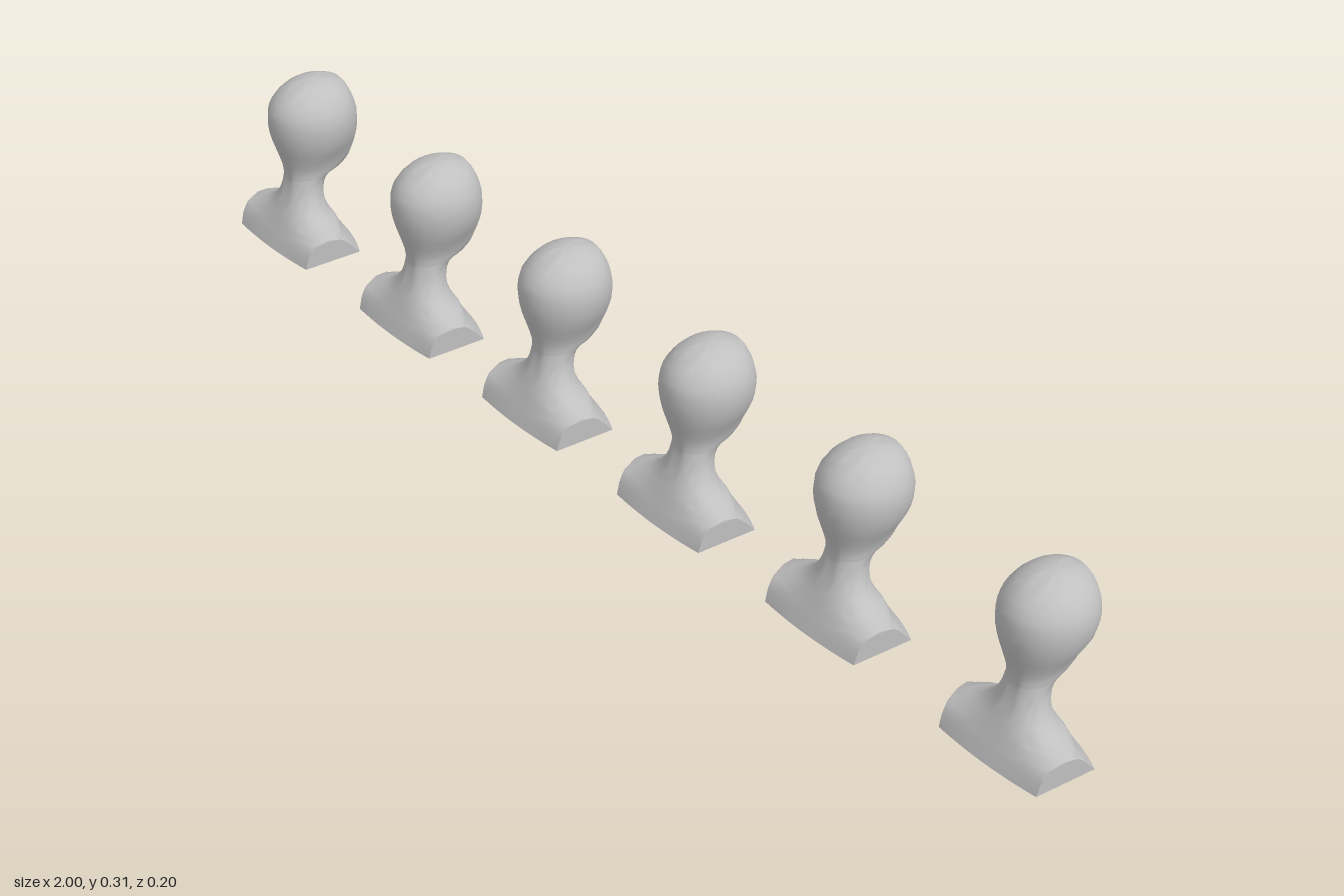
import * as THREE from 'three';
import { toCreasedNormals } from 'three/addons/utils/BufferGeometryUtils.js';

const ARC = 14; // segments per half ring

// Cross-sections: [y, front side x, front side z, front z, back side x, back side z, back z]
const cut = (y, zf, front, zb, back) => [y, 0.114 - 0.17 * zf, zf, front, 0.114 - 0.17 * zb, zb, back];
const ring = (y, x, z, front, back) => [y, x, z, front, x, z, back];
const SECTIONS = [
  // shoulders with flat cut sides
  cut(0, 0.093, 0.099, -0.014, -0.046),
  cut(0.022, 0.087, 0.09, 0.003, -0.034),
  cut(0.033, 0.08, 0.085, 0.013, -0.028),
  cut(0.04, 0.073, 0.082, 0.022, -0.026),
  cut(0.046, 0.047, 0.079, 0.047, -0.023),
  // neck
  ring(0.052, 0.088, 0.044, 0.077, -0.021),
  ring(0.06, 0.07, 0.041, 0.073, -0.018),
  ring(0.072, 0.054, 0.036, 0.068, -0.015),
  ring(0.09, 0.042, 0.028, 0.06, -0.016),
  ring(0.107, 0.037, 0.022, 0.055, -0.021),
  ring(0.12, 0.036, 0.018, 0.052, -0.03),
  // jaw and chin
  ring(0.128, 0.036, 0.012, 0.051, -0.049),
  ring(0.131, 0.0365, 0.008, 0.051, -0.074),
  ring(0.138, 0.038, 0.004, 0.051, -0.084),
  ring(0.15, 0.041, 0, 0.052, -0.09),
  // head
  ring(0.167, 0.049, -0.005, 0.056, -0.095),
  ring(0.185, 0.058, -0.009, 0.061, -0.097),
  ring(0.2, 0.065, -0.011, 0.065, -0.0975),
  ring(0.22, 0.07, -0.013, 0.069, -0.097),
  ring(0.238, 0.072, -0.014, 0.0705, -0.096),
  ring(0.255, 0.071, -0.014, 0.069, -0.092),
  ring(0.27, 0.066, -0.014, 0.066, -0.088),
  ring(0.284, 0.058, -0.015, 0.055, -0.082),
  ring(0.296, 0.047, -0.016, 0.043, -0.074),
  ring(0.305, 0.034, -0.018, 0.027, -0.057),
  ring(0.311, 0.02, -0.019, 0.01, -0.041),
  ring(0.3145, 0, -0.019, -0.019, -0.019),
];

// One closed loop of points: front arc, then back arc
function loop([y, xf, zf, front, xb, zb, back]) {
  const power = 1 + Math.min(1, (zf - zb) / 0.05);
  const points = [];
  for (const [x, z, tip, dir] of [[xf, zf, front, 1], [xb, zb, back, -1]]) {
    for (let i = 0; i <= ARC; i++) {
      const t = (i / ARC - 0.5) * Math.PI;
      const c = Math.max(0, Math.cos(t));
      points.push(new THREE.Vector3(dir * x * Math.sin(t), y, z + (tip - z) * Math.pow(c, power)));
    }
  }
  return points;
}

function bustGeometry() {
  const loops = SECTIONS.map(loop);
  const positions = [];
  const tri = (a, b, c) => {
    if (new THREE.Triangle(a, b, c).getArea() > 1e-9) {
      for (const p of [a, b, c]) positions.push(p.x, p.y, p.z);
    }
  };
  const count = loops[0].length;
  const baseCentre = new THREE.Vector3(0, 0, 0.03);
  for (let j = 0; j < count; j++) {
    const k = (j + 1) % count;
    // flat underside
    tri(baseCentre, loops[0][k], loops[0][j]);
    // skin between neighbouring loops
    for (let i = 0; i < loops.length - 1; i++) {
      const lo = loops[i], hi = loops[i + 1];
      tri(lo[j], lo[k], hi[k]);
      tri(lo[j], hi[k], hi[j]);
    }
  }
  const geometry = new THREE.BufferGeometry();
  geometry.setAttribute('position', new THREE.Float32BufferAttribute(positions, 3));
  return toCreasedNormals(geometry, 0.9);
}

export function createModel() {
  const group = new THREE.Group();
  group.name = 'mannequinBusts';
  const grey = new THREE.MeshStandardMaterial({ color: 0xc0c0c0 });
  grey.name = 'plain grey';
  const geometry = bustGeometry();
  // row of identical busts facing the back
  [-0.884, -0.53, -0.19, 0.157, 0.508, 0.884].forEach((x, i) => {
    const bust = new THREE.Mesh(geometry, grey);
    bust.name = `bust${i + 1}`;
    bust.position.x = x;
    group.add(bust);
  });
  return group;
}
